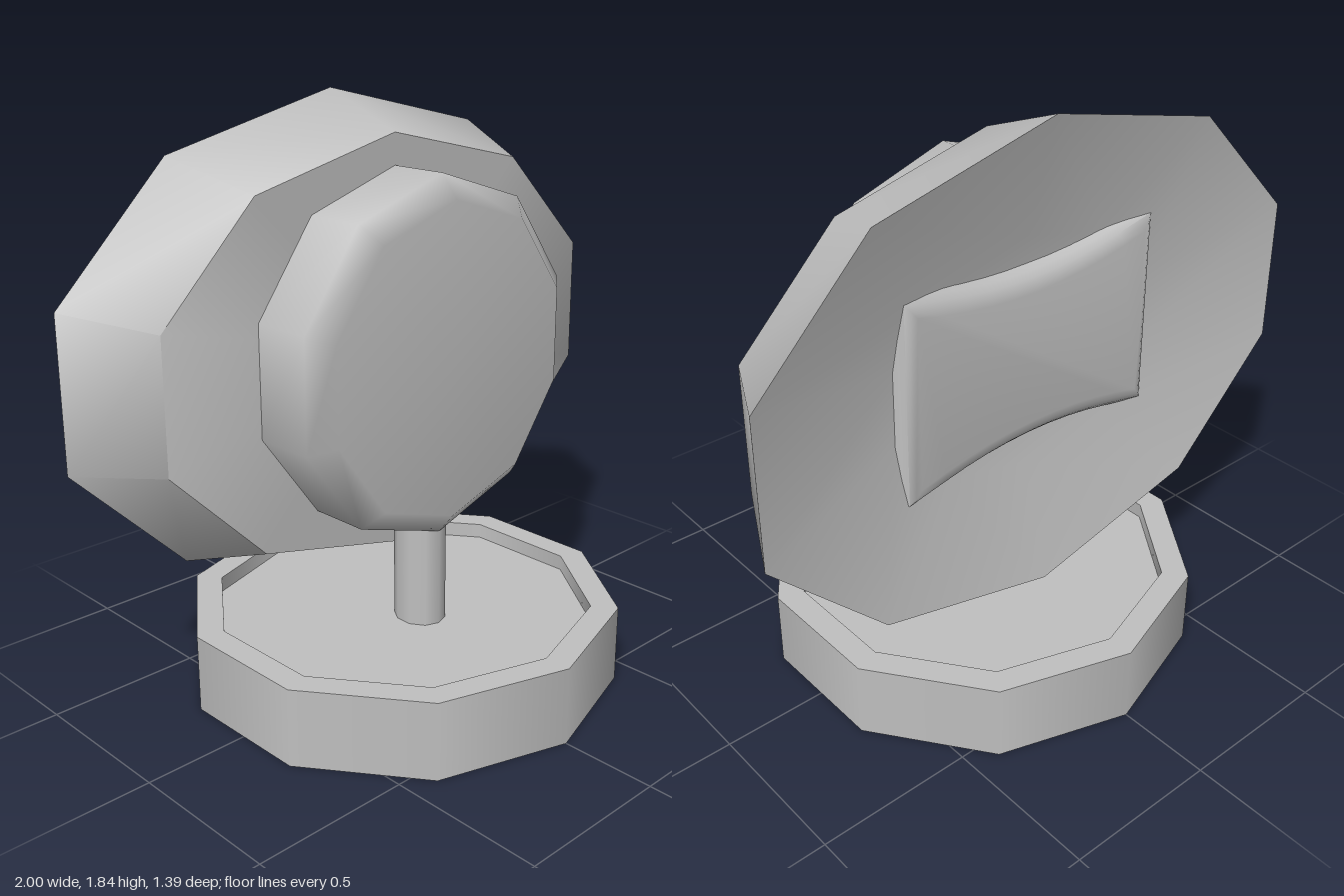
import * as THREE from 'three';
import { mergeGeometries, toCreasedNormals } from 'three/addons/utils/BufferGeometryUtils.js';

const SIDES = 10;
const CENTRE_Y = 1.075;

// Ten-sided turned surface; each profile is smooth in itself, with sharp edges between profiles.
// Points are [radius, height], listed so that the surface faces outward.
function turned(...profiles) {
  const geometry = mergeGeometries(profiles.map((p) =>
    new THREE.LatheGeometry(p.map(([r, h]) => new THREE.Vector2(r, h)), SIDES)));
  geometry.normalizeNormals();
  return geometry;
}

export function createModel() {
  const model = new THREE.Group();
  const grey = new THREE.MeshStandardMaterial({ color: 0xc0c0c0 });
  grey.name = 'grey';

  const add = (name, geometry) => {
    const mesh = new THREE.Mesh(geometry, grey);
    mesh.name = name;
    model.add(mesh);
    return mesh;
  };

  // Base with a shallow recess in its top
  add('base', turned(
    [[0, 0], [0.697, 0]],
    [[0.697, 0], [0.697, 0.25]],
    [[0.697, 0.25], [0.61, 0.25]],
    [[0.61, 0.25], [0.61, 0.2]],
    [[0.61, 0.2], [0, 0.2]],
  ));

  // Post, a little deeper than it is wide
  const post = add('post', turned([[0.0875, 0.19], [0.0875, 0.58]]));
  post.scale.x = 0.87;
  post.position.z = 0.08;

  // Wide oval dish with a flat front, flaring to a hollow back
  const dishShape = turned(
    [[0, -0.17], [0.38, -0.21], [0.765, -0.315]],
    [[0.765, -0.315], [0.655, -0.03]],
    [[0.655, -0.03], [0, -0.03]],
  );
  dishShape.rotateX(Math.PI / 2);
  dishShape.scale(1.05 / 0.765, 1, 1);
  // This crease angle softens the rim at the sides and keeps it sharp above and below
  add('dish', toCreasedNormals(dishShape, THREE.MathUtils.degToRad(65))).position.y = CENTRE_Y;

  // Thick round head with a soft bevelled front edge
  const headShape = turned(
    [[0.558, -0.04], [0.558, 0.165], [0.487, 0.224], [0, 0.224]],
  );
  headShape.rotateX(Math.PI / 2);
  add('head', headShape).position.y = CENTRE_Y;

  // Rounded pad in the back hollow, its long edges drawn in towards the middle
  const bevel = 0.07;
  const w = 0.505 - bevel;
  const h = 0.345 - bevel;
  const waist = h - 0.12;
  const outline = new THREE.Shape();
  outline.moveTo(-w, -h);
  outline.quadraticCurveTo(0, -waist, w, -h);
  outline.lineTo(w, h);
  outline.quadraticCurveTo(0, waist, -w, h);
  outline.closePath();
  const padShape = new THREE.ExtrudeGeometry(outline, {
    depth: 0.04, curveSegments: 10,
    bevelThickness: bevel, bevelSize: bevel, bevelSegments: 5,
  });
  padShape.translate(0, 0, -0.02);
  add('backPad', toCreasedNormals(padShape, 0.9)).position.set(0, 1.085, -0.165);

  return model;
}
